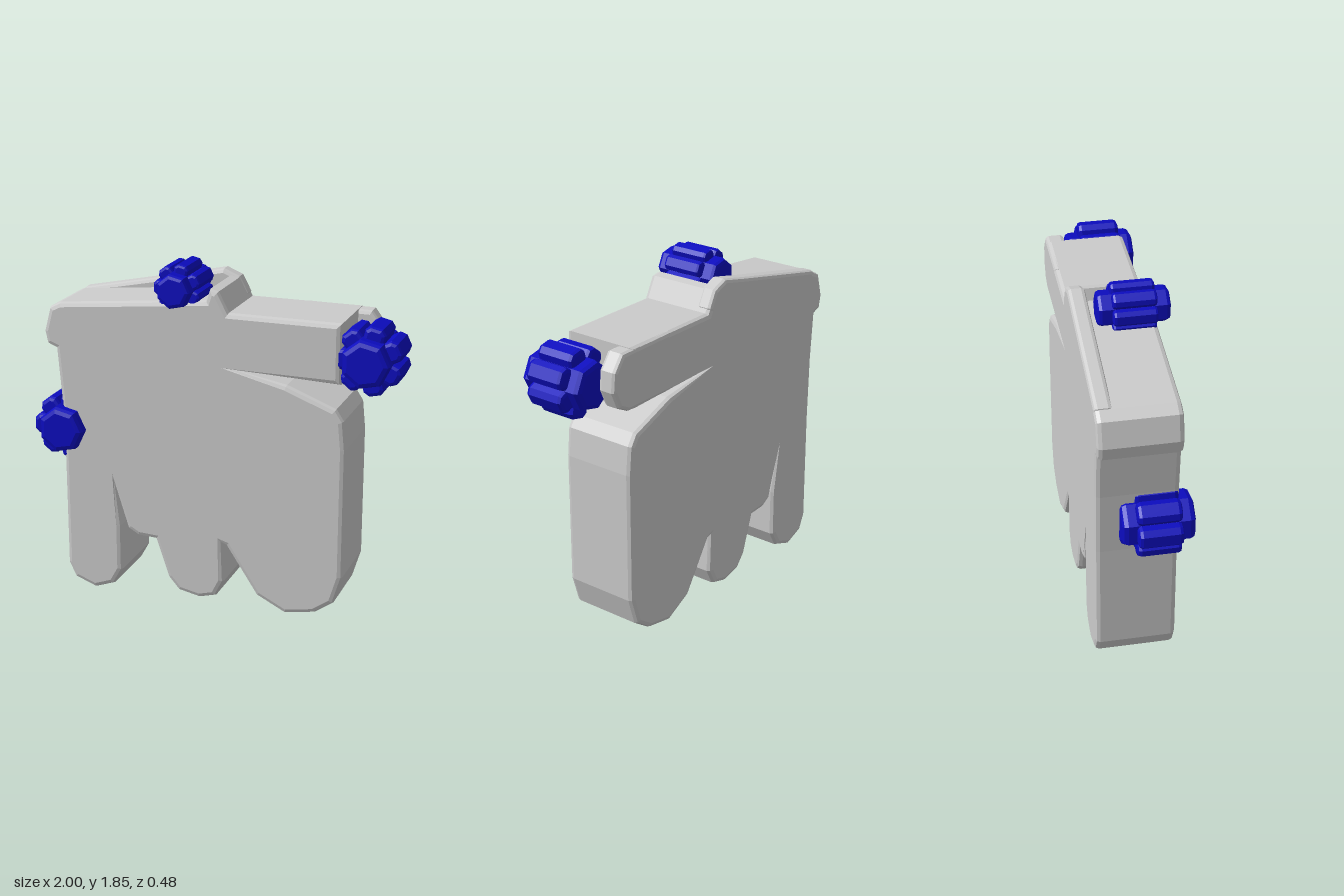
import * as THREE from 'three';

const grey = new THREE.MeshStandardMaterial({ color: 0xcccccc, flatShading: true });
const blue = new THREE.MeshStandardMaterial({ color: 0x0c0cc0, flatShading: true });

// Bevelled slab whose widest outline is the given one, from z0 to z1
function slab(name, points, z0, z1, bevel, material) {
  const shape = new THREE.Shape(points.map(([x, y]) => new THREE.Vector2(x, y)));
  const geometry = new THREE.ExtrudeGeometry(shape, {
    depth: z1 - z0 - 2 * bevel, bevelThickness: bevel, bevelSize: bevel,
    bevelOffset: -bevel, bevelSegments: 2, curveSegments: 1,
  });
  geometry.translate(0, 0, z0 + bevel);
  const mesh = new THREE.Mesh(geometry, material);
  mesh.name = name;
  return mesh;
}

function polygon(sides, radius) {
  return Array.from({ length: sides }, (_, i) => {
    const a = (i / sides) * Math.PI * 2;
    return [Math.cos(a) * radius, Math.sin(a) * radius];
  });
}

// Seven-toothed wheel: a long hub with shorter chamfered teeth
function wheel(name, x, y, radius) {
  const group = new THREE.Group();
  group.name = name;
  const k = radius / 0.178;
  group.add(slab('hub', polygon(7, 0.128 * k), -0.12, 0.24, 0.028 * k, blue));
  const w = 0.055 * k, c = 0.025 * k, r0 = 0.08 * k;
  const tooth = [[r0, -w], [radius - c, -w], [radius, -w + c],
    [radius, w - c], [radius - c, w], [r0, w]];
  for (let i = 0; i < 7; i++) {
    const mesh = slab('tooth', tooth, -0.05, 0.17, 0.02 * k, blue);
    mesh.rotation.z = Math.PI + (i / 7) * Math.PI * 2;
    group.add(mesh);
  }
  group.position.set(x, y, 0);
  return group;
}

// Main outline, counter-clockwise from the top of the short left leg
const bodyOutline = [
  [-0.83, 0.75], [-0.83, 0.14], [-0.79, 0.055], [-0.67, 0.01], [-0.56, 0.05], [-0.51, 0.14],
  [-0.51, 0.40], [-0.545, 0.66],
  [-0.47, 0.39], [-0.41, 0.355], [-0.31, 0.35],
  [-0.24, 0.14], [-0.18, 0.07], [-0.06, 0.045], [0.03, 0.07], [0.075, 0.16], [0.065, 0.38],
  [0.09, 0.37], [0.26, 0.11], [0.42, 0.03], [0.58, 0.06], [0.68, 0.13], [0.725, 0.28],
  [0.725, 0.98], [0.71, 1.13], [0.67, 1.19], [0.41, 1.29],
  [0.10, 1.345], [0.69, 1.32],
  [0.69, 1.635], [0.10, 1.635], [0.045, 1.74], [0.0, 1.75], [-0.02, 1.69],
  [-0.83, 1.61], [-0.89, 1.58], [-0.925, 1.45], [-0.91, 1.38], [-0.86, 1.36], [-0.84, 1.1],
];

// Thin rear pieces that reach behind the wheels
const ridgeOutline = [
  [-0.84, 1.55], [0.07, 1.55], [0.09, 1.66], [0.045, 1.745], [-0.04, 1.78],
  [-0.2, 1.745], [-0.83, 1.615],
];
const armTipOutline = [
  [0.4, 1.33], [0.72, 1.325], [0.79, 1.36], [0.83, 1.45],
  [0.82, 1.55], [0.76, 1.63], [0.4, 1.635],
];

export function createModel() {
  const model = new THREE.Group();
  model.name = 'model';
  model.add(
    slab('body', bodyOutline, -0.24, 0.175, 0.025, grey),
    slab('rearRidge', ridgeOutline, -0.24, -0.15, 0.02, grey),
    slab('rearArmTip', armTipOutline, -0.24, -0.14, 0.02, grey),
    wheel('leftWheel', 0.825, 1.455, 0.178),
    wheel('rightWheel', -0.825, 0.925, 0.178),
    wheel('topWheel', -0.175, 1.735, 0.128),
  );
  return model;
}
